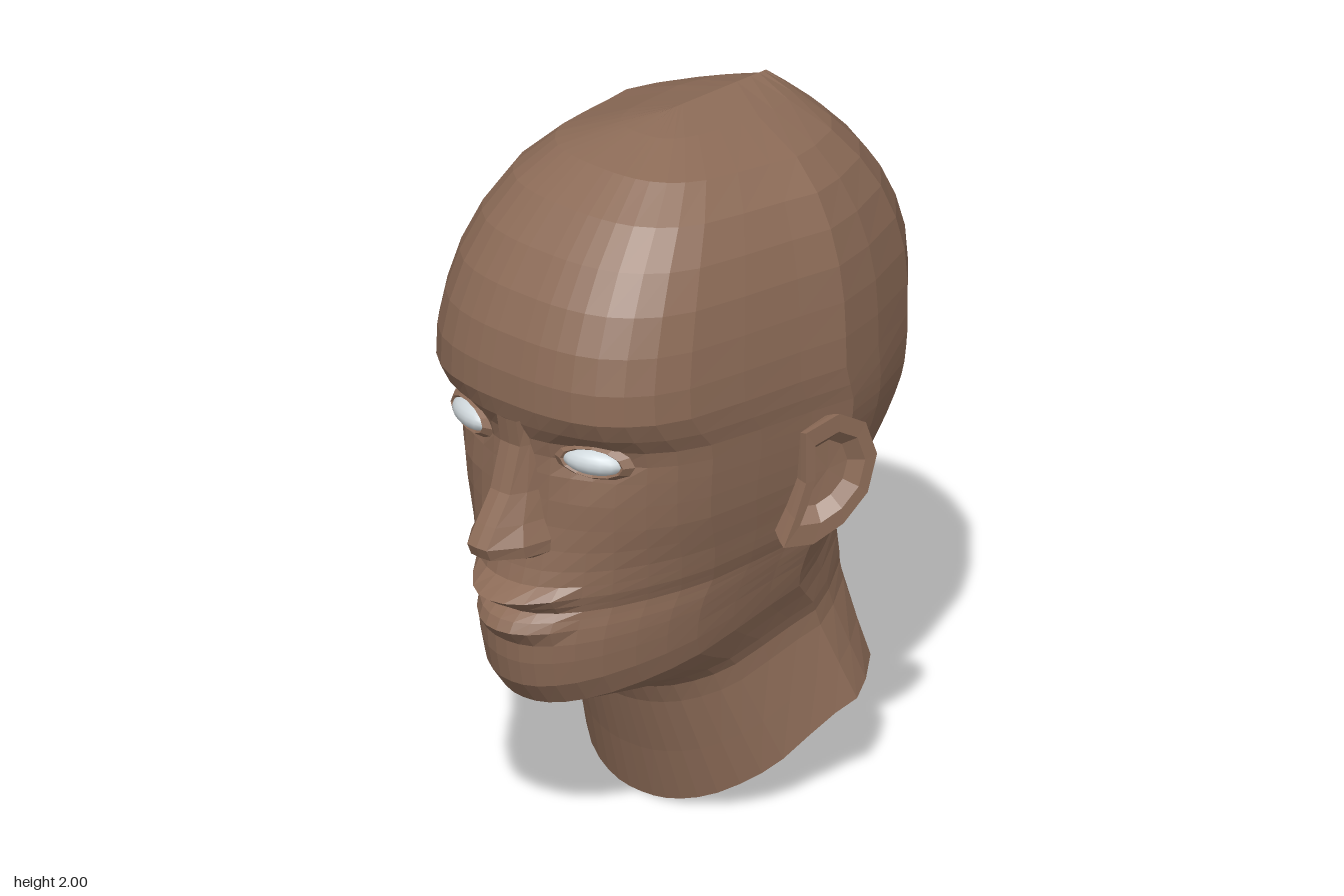
import * as THREE from 'three';

const skin = new THREE.MeshStandardMaterial({ color: 0x8c6b57, flatShading: true, side: THREE.DoubleSide });
const eyeWhite = new THREE.MeshStandardMaterial({ color: 0xd0d8dc });
const bump = (d, size) => Math.exp(-((d / size) ** 2));

// Joins rings of [x, y, z] points into a faceted skin
function loft(rings, closed) {
  const n = rings[0].length, index = [];
  for (let i = 0; i < rings.length - 1; i++) {
    for (let j = 0; j < (closed ? n : n - 1); j++) {
      const a = i * n + j, b = i * n + (j + 1) % n;
      index.push(a, a + n, b, b, a + n, b + n);
    }
  }
  const g = new THREE.BufferGeometry();
  g.setAttribute('position', new THREE.Float32BufferAttribute(rings.flat(2), 3));
  g.setIndex(index);
  const flat = g.toNonIndexed();
  flat.computeVertexNormals();
  return flat;
}

function part(name, geometry, material = skin) {
  const m = new THREE.Mesh(geometry, material);
  m.name = name;
  return m;
}

// Half outline of the head from above: [share of half width, share of depth from the front]
const outline = [[0, 0], [.1, 0], [.2, .002], [.31, .008], [.42, .018], [.54, .037], [.66, .073],
  [.76, .12], [.84, .19], [.9, .32], [.95, .46], [1, .57], [.93, .69], [.78, .835],
  [.57, .92], [.34, .97], [.15, .995], [0, 1]];

// Key rings from crown to neck: [front z, front y, back z, back y, half width, roundness of the face]
const keyRings = [
  [-.02, 2, -.4, 1.98, 0, 0],
  [.28, 1.935, -.53, 1.87, .31, 0],
  [.5, 1.76, -.67, 1.71, .447, 0],
  [.62, 1.55, -.75, 1.52, .502, 0],
  [.645, 1.36, -.75, 1.34, .52, 0],
  [.6, 1.25, -.735, 1.24, .517, .4],
  [.59, 1.15, -.717, 1.16, .51, .45],
  [.595, 1, -.665, 1.07, .493, .7],
  [.62, .87, -.62, 1, .472, 1.4],
  [.635, .79, -.585, .94, .456, 1.8],
  [.625, .742, -.565, .9, .44, 2],
  [.635, .69, -.55, .87, .428, 2],
  [.637, .59, -.54, .84, .41, 2.1],
  [.57, .45, -.518, .8, .388, 2],
  [.29, .41, -.514, .68, .36, 1],
  [.2, .33, -.52, .58, .357, .6],
  [.1, 0, -.56, .33, .425, .6],
];

// Adds a smooth in-between ring after every key ring
function refine(keys) {
  const last = keys.length - 1;
  return keys.flatMap((ring, i) => {
    if (i === last) return [ring];
    const before = keys[Math.max(i - 1, 0)], next = keys[i + 1], after = keys[Math.min(i + 2, last)];
    return [ring, ring.map((v, k) => (9 * (v + next[k]) - before[k] - after[k]) / 16)];
  });
}

// One tilted ring around the head, with eye sockets pushed in and lips pushed out
function headRing([fz, fy, bz, by, w, round]) {
  const bow = .08 * Math.max(0, 1 - fy / .45);
  const lip = .08 * bump(fy - .784, .024) + .06 * bump(fy - .702, .024);
  const half = outline.map(([u, t]) => {
    const x = w * u;
    let z = THREE.MathUtils.lerp(fz, bz, t) - round * x * x * (1 - t) ** 2;
    const s = (fz - z) / (fz - bz);
    const y = THREE.MathUtils.lerp(fy, by, s) + bow * 4 * s * (1 - s);
    if (t < .3) {
      z -= .04 * bump(x - .21, .09) * bump(y - 1.21, .06);
      z += lip * Math.max(0, 1 - (x / .18) ** 2);
    }
    return [x, y, z];
  });
  const mirrored = half.slice(1, -1).reverse().map(([x, y, z]) => [-x, y, z]);
  return [...half, ...mirrored];
}

// Nose sections from the bridge down: [y, ridge z, half width]
const noseSections = [[1.31, .64, .055], [1.23, .625, .06], [1.1, .665, .075], [1.02, .722, .095],
  [.965, .758, .12], [.93, .742, .12], [.915, .69, .1], [.895, .6, .08]];
function nose() {
  const base = .56, ridge = .035;
  return loft(noseSections.map(([y, z, w]) => {
    const mid = base + (z - base) * .58;
    return [[-w, y, base], [-w * .78, y, mid], [-ridge, y, z], [0, y, z + .003],
      [ridge, y, z], [w * .78, y, mid], [w, y, base]];
  }), false);
}

// Ear rim as [z, y], and loops from the root over the rim into the hollow: [scale, x offset]
const earRim = [[0, 1.2], [-.09, 1.24], [-.16, 1.2], [-.19, 1.1], [-.165, .99],
  [-.1, .91], [-.02, .865], [.06, .87], [.03, .95], [0, 1.05]];
const earLoops = [[.75, -.1], [.95, -.025], [1, 0], [.7, -.002], [.5, -.04], [0, -.045]];
function ear(side) {
  return loft(earLoops.map(([s, dx]) => {
    const ring = earRim.map(([z, y]) => {
      const pz = -.09 + (z + .09) * s, py = 1.06 + (y - 1.06) * s;
      return [side * (.5 + (.02 - pz) * .45 + dx), py, pz];
    });
    return side > 0 ? ring : ring.reverse();
  }), true);
}

// Eyeball with a lid rim around it
function eye(side) {
  const g = new THREE.Group();
  const ball = new THREE.SphereGeometry(1, 16, 10).scale(.09, .038, .045);
  const lid = new THREE.TorusGeometry(1, .3, 4, 12).scale(.092, .042, .07);
  g.add(part('eyeball', ball, eyeWhite), part('eyelids', lid));
  g.position.set(side * .22, 1.215, .53);
  g.rotation.y = side * .35;
  return g;
}

export function createModel() {
  const model = new THREE.Group();
  model.name = 'head';
  model.add(part('skullFaceAndNeck', loft(refine(keyRings).map(headRing), true)));
  model.add(part('nose', nose()));
  for (const side of [1, -1]) {
    const label = side > 0 ? 'left' : 'right';
    model.add(part(label + 'Ear', ear(side)));
    const e = eye(side);
    e.name = label + 'Eye';
    model.add(e);
  }
  return model;
}
